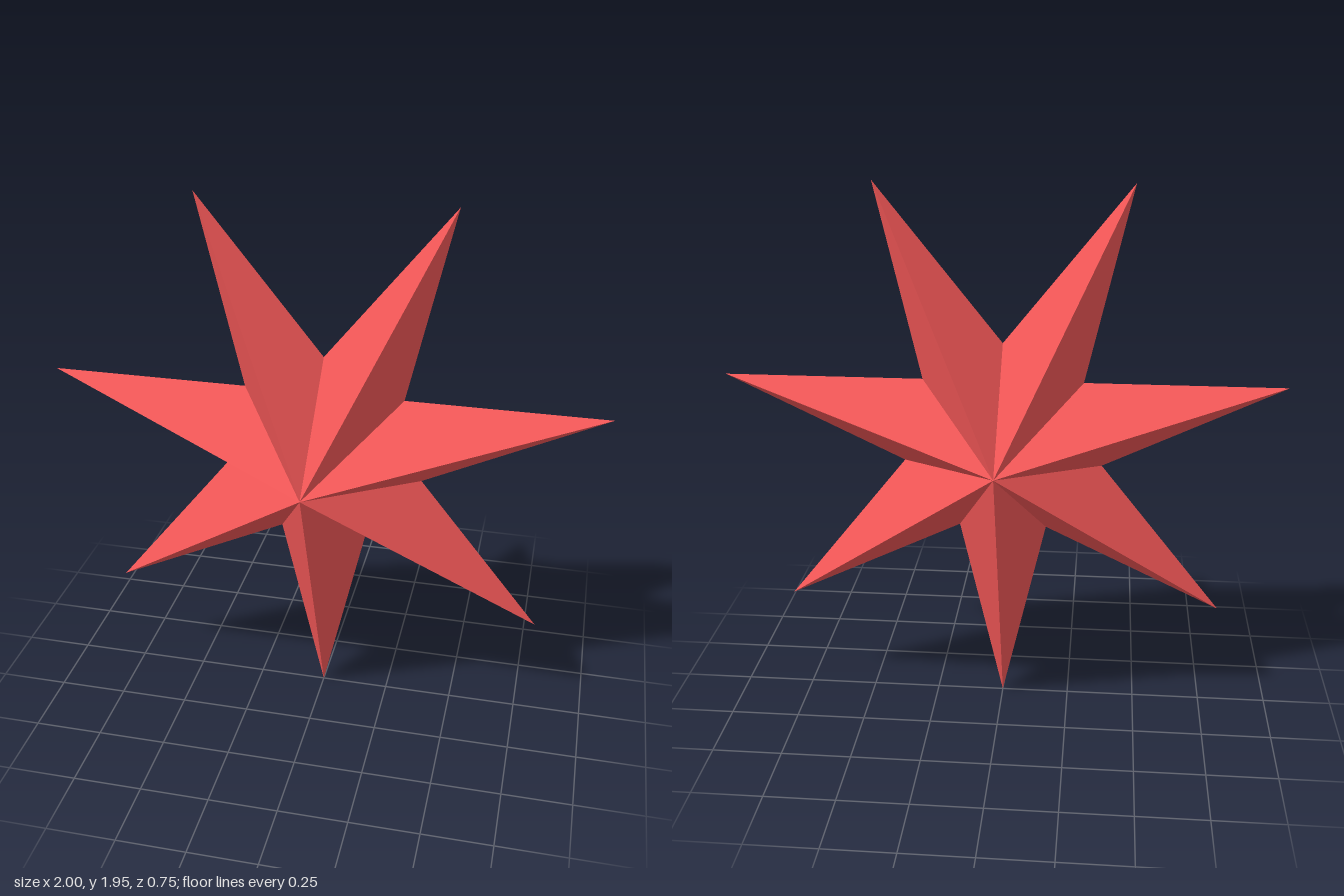
import * as THREE from 'three';

const POINTS = 7;
const OUTER = 1.0257; // centre to tip
const INNER = OUTER * Math.cos(3 * Math.PI / 7) / Math.cos(2 * Math.PI / 7); // centre to notch
const DEPTH = 0.375; // centre to front or back apex

// Rim corner i: even corners are tips, odd corners are notches; the first tip points down
function rimCorner(i) {
  const angle = -Math.PI / 2 + i * Math.PI / POINTS;
  const radius = i % 2 === 0 ? OUTER : INNER;
  return [radius * Math.cos(angle), radius * Math.sin(angle), 0];
}

// One ray: four facets from the tip's two notches to the front and back apexes
function rayGeometry(k) {
  const positions = [];
  for (const i of [2 * k - 1, 2 * k]) {
    const a = rimCorner(i), b = rimCorner(i + 1);
    positions.push(...a, ...b, 0, 0, DEPTH);
    positions.push(...b, ...a, 0, 0, -DEPTH);
  }
  const geometry = new THREE.BufferGeometry();
  geometry.setAttribute('position', new THREE.Float32BufferAttribute(positions, 3));
  geometry.computeVertexNormals();
  return geometry;
}

export function createModel() {
  const model = new THREE.Group();
  model.name = 'sevenPointedStar';
  const red = new THREE.MeshStandardMaterial({ color: 0xf05656, flatShading: true });

  for (let k = 0; k < POINTS; k++) {
    const ray = new THREE.Mesh(rayGeometry(k), red);
    ray.name = `starRay${k + 1}`;
    ray.position.y = OUTER; // lowest tip rests on the ground
    model.add(ray);
  }
  return model;
}
